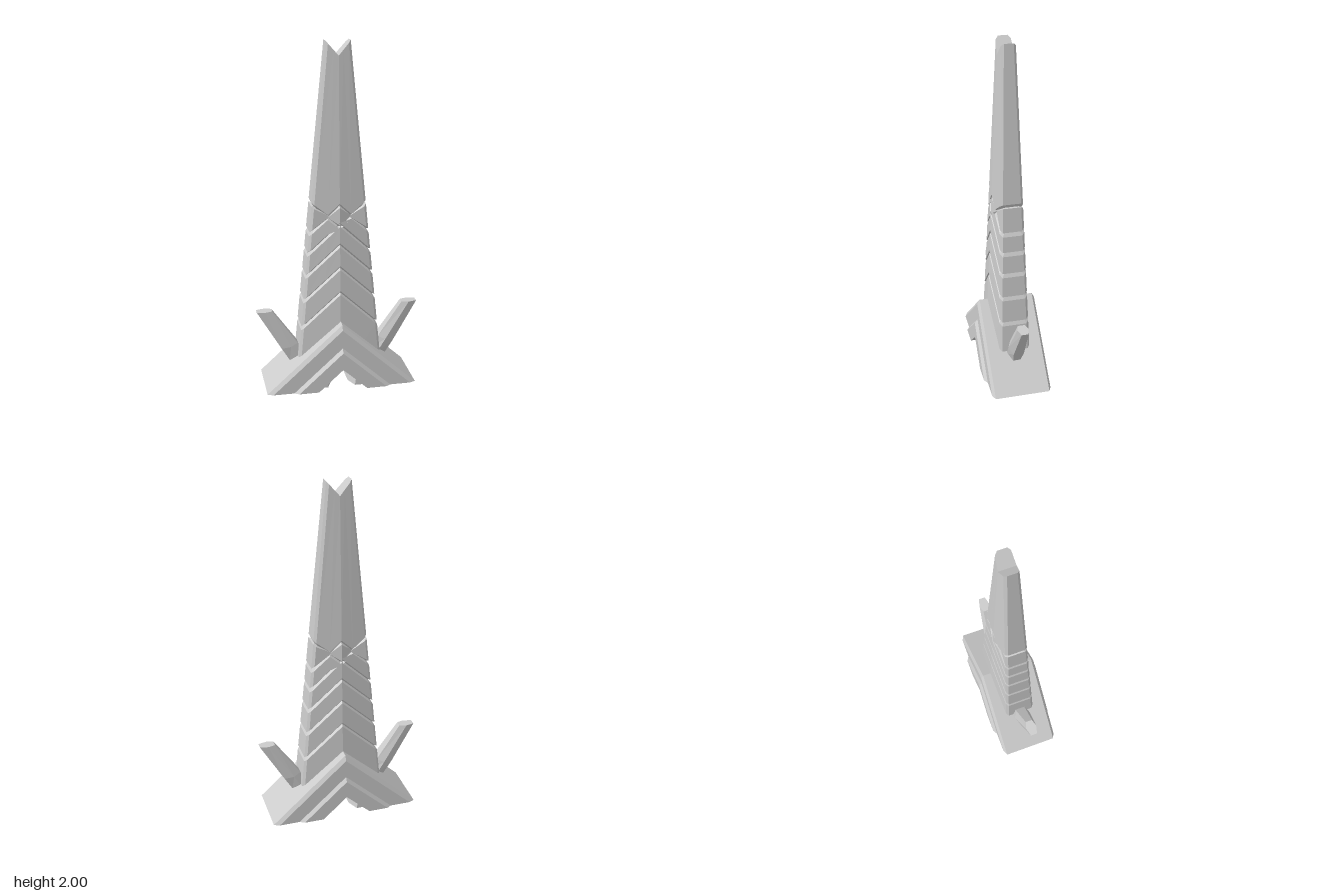
import * as THREE from 'three';

const material = new THREE.MeshStandardMaterial({ color: 0xcccccc, flatShading: true });

// Skin a list of equal-length rings and close both ends with fans.
function loft(rings) {
  const pos = [], tri = (...p) => p.forEach((q) => pos.push(...q));
  const centre = (r) => [0, 1, 2].map((k) => r.reduce((s, p) => s + p[k], 0) / r.length);
  const n = rings[0].length, first = rings[0], last = rings[rings.length - 1];
  for (let k = 0; k < n; k++) {
    const j = (k + 1) % n;
    for (let r = 0; r < rings.length - 1; r++) {
      const a = rings[r], b = rings[r + 1];
      tri(a[k], a[j], b[j]);
      tri(a[k], b[j], b[k]);
    }
    tri(centre(first), first[j], first[k]);
    tri(first.capCentre ?? centre(last), last[k], last[j]);
  }
  const g = new THREE.BufferGeometry();
  g.setAttribute('position', new THREE.Float32BufferAttribute(pos, 3));
  g.computeVertexNormals();
  return g;
}

// Mesh plus its half-turned twin on the other side.
function pair(name, geometry) {
  const group = new THREE.Group();
  group.name = name;
  for (const [side, turn] of [['left', 0], ['right', Math.PI]]) {
    const m = new THREE.Mesh(geometry, material);
    m.name = `${name}_${side}`;
    m.rotation.y = turn;
    group.add(m);
  }
  return group;
}

// Tapering tower section: ridge on front and back, chamfered flat sides.
const BEVEL = 0.014, GROOVE = 0.012;
function towerPoint(t, side, y, inset) {
  const k = (2 - y) / 1.8;
  const hx = 0.07 + 0.17 * k - inset;
  const ridge = 0.045 + 0.075 * k - inset, edge = 0.04 + 0.05 * k - inset;
  return side ? [hx, y, edge - BEVEL] : [t * (hx - BEVEL), y, ridge + (edge - ridge) * t];
}

// Ring whose height (and groove inset) depends on x.
function towerRing(heightAt) {
  const quarter = [[0, 0], [0.45, 0], [1, 0], [1, 1]].map(([t, side]) => {
    let h = heightAt(0.1), p;
    for (let i = 0; i < 8; i++) {
      p = towerPoint(t, side, h.y, h.inset);
      h = heightAt(p[0]);
    }
    return towerPoint(t, side, h.y, h.inset);
  });
  const [c, m, e, s] = quarter;
  const flip = (p, sx, sz) => [p[0] * sx, p[1], p[2] * sz];
  return [c, m, e, s, flip(s, 1, -1), flip(e, 1, -1), flip(m, 1, -1), flip(c, 1, -1),
    flip(m, -1, -1), flip(e, -1, -1), flip(s, -1, -1), flip(s, -1, 1), flip(e, -1, 1), flip(m, -1, 1)];
}

function towerGeometry() {
  const rings = [];
  const add = (f, inset = 0) => rings.push(towerRing((x) => ({ inset, ...f(x) })));
  const chevron = (a) => (x) => a - 0.95 * x;
  add((x) => ({ y: chevron(0.3)(x) }));
  // V-shaped grooves
  for (const a of [0.575, 0.725, 0.86, 0.98]) {
    for (const d of [-1, 0, 1]) {
      add((x) => ({ y: chevron(a)(x) + d * GROOVE }), d ? 0 : GROOVE);
    }
  }
  // Crossing pair of grooves that leaves a diamond on the ridge
  const down = chevron(1.09), up = (x) => 0.965 + 0.85 * x;
  const low = (x) => Math.min(down(x), up(x)), high = (x) => Math.max(down(x), up(x));
  const between = (own, sign) => (x) => (high(x) - low(x) < 2 * GROOVE
    ? { y: (low(x) + high(x)) / 2, inset: GROOVE }
    : { y: own(x) + sign * GROOVE });
  add((x) => ({ y: low(x) - GROOVE }));
  add((x) => ({ y: low(x) }), GROOVE);
  add(between(low, 1));
  add(between(high, -1));
  add((x) => ({ y: high(x) }), GROOVE);
  add((x) => ({ y: high(x) + GROOVE }));
  // Notched top
  add((x) => ({ y: 1.92 + x * 1.14 }));
  rings[0].capCentre = [0, 1.92, 0];
  return loft(rings);
}

// One leg of an upside-down V; layers are [z, outer apex, inner apex].
function chevronLeg(layers) {
  const s = 0.91;
  return loft(layers.map(([z, a, b]) => [[0, a, z], [0, b, z], [b / s, 0, z], [a / s, 0, z]]));
}

// Flattened six-sided spike section between an inner and an outer edge.
function spikeRing([xi, yi], [xo, yo], wide, narrow) {
  const x = xi + (xo - xi) * 0.45, y = yi + (yo - yi) * 0.45;
  return [[x, y, wide], [xo, yo, narrow], [xo, yo, -narrow],
    [x, y, -wide], [xi, yi, -narrow], [xi, yi, narrow]];
}

export function createModel() {
  const model = new THREE.Group();
  model.name = 'tower';

  const shaft = new THREE.Mesh(towerGeometry(), material);
  shaft.name = 'shaft';
  model.add(shaft);

  // Stepped chevron base
  model.add(pair('outerChevron', chevronLeg([
    [-0.175, 0.37, 0.15], [-0.16, 0.4, 0.15], [0.16, 0.4, 0.15], [0.175, 0.37, 0.15]])));
  model.add(pair('innerChevron', chevronLeg([
    [-0.192, 0.235, 0.13], [-0.175, 0.26, 0.13], [0.175, 0.26, 0.13], [0.192, 0.235, 0.13]])));

  // Narrower core lining the archway
  const core = (z, g) => [[0, 0.3, z], [0, 0.1 + g, z], [0.06 + g, 0.045, z], [0.05 + g, 0, z], [0.3, 0, z]];
  model.add(pair('archCore', loft([core(-0.14, 0.03), core(-0.07, 0), core(0.07, 0), core(0.14, 0.03)])));

  // Side spikes
  model.add(pair('sideSpike', loft([
    spikeRing([0.19, 0.17], [0.288, 0.14], 0.05, 0.022),
    spikeRing([0.24, 0.25], [0.335, 0.22], 0.05, 0.03),
    spikeRing([0.385, 0.457], [0.475, 0.457], 0.032, 0.02)])));

  return model;
}
